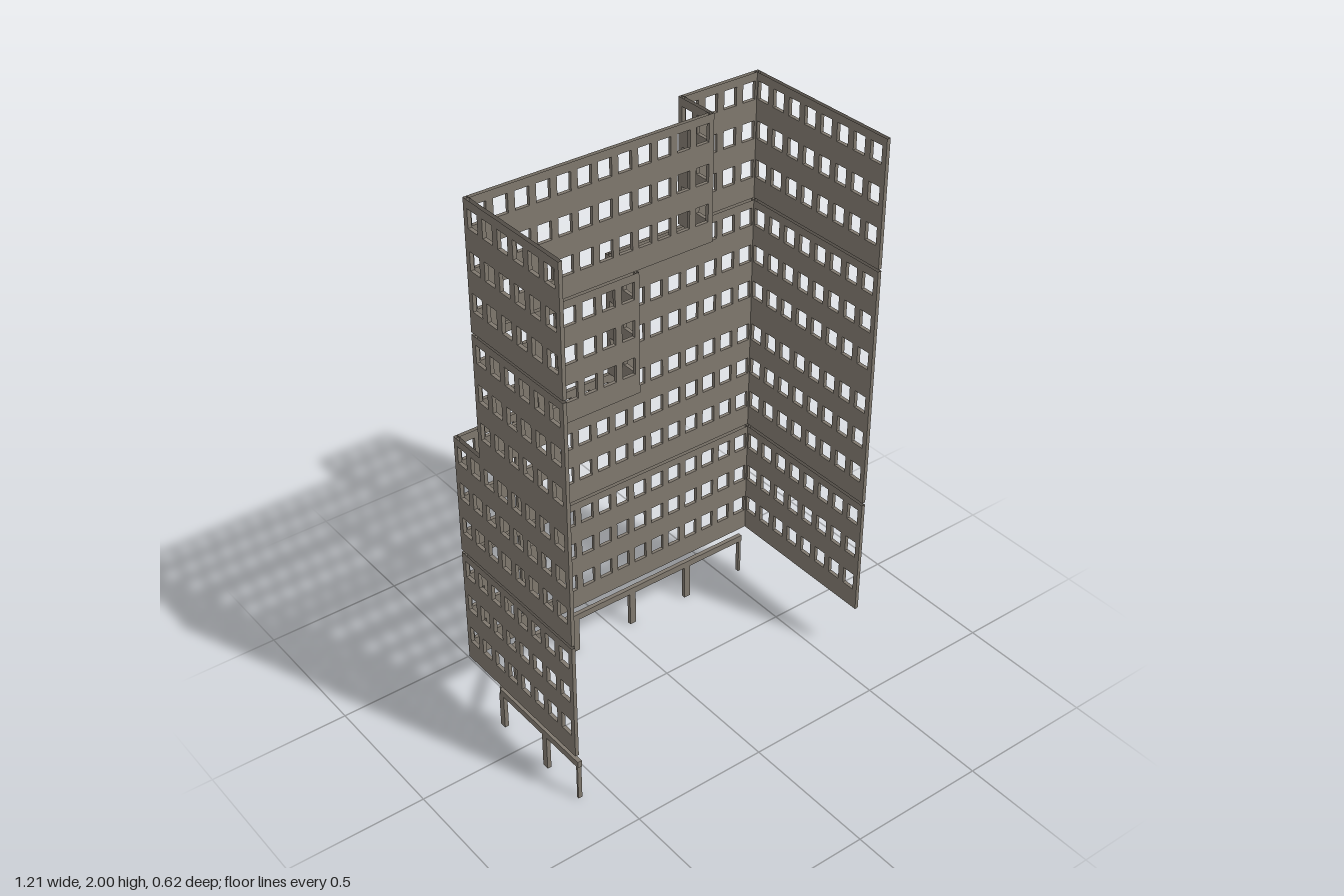
import * as THREE from 'three';

const PITCH = 0.075, THICK = 0.013, H = 0.448;
const concrete = new THREE.MeshStandardMaterial({ color: 0x7f786e, side: THREE.DoubleSide });
concrete.name = 'warm grey concrete';

// Drop triangles lying flat on the top or bottom rim, leaving the wall hollow there
function openRims(geo) {
  const p = geo.attributes.position.array, out = [];
  for (let i = 0; i < p.length; i += 9) {
    const flat = y => [1, 4, 7].every(k => Math.abs(p[i + k] - y) < 1e-5);
    if (!flat(0) && !flat(H)) for (let k = 0; k < 9; k++) out.push(p[i + k]);
  }
  const g = new THREE.BufferGeometry();
  g.setAttribute('position', new THREE.Float32BufferAttribute(out, 3));
  g.computeVertexNormals();
  return g;
}

// Wall panel from a to b (plan points [x, z]) with three rows of windows
function wall(a, b, y, name) {
  const dx = b[0] - a[0], dz = b[1] - a[1], len = Math.hypot(dx, dz), e = THICK / 2;
  const s = new THREE.Shape();
  s.moveTo(-e, 0).lineTo(len + e, 0).lineTo(len + e, H).lineTo(-e, H).closePath();
  const n = Math.round(len / PITCH), w = 0.05, h = 0.064;
  for (let row = 0; row < 3; row++) {
    for (let i = 0; i < n; i++) {
      const x0 = (i + 0.5) * len / n - w / 2, y0 = 0.077 + row * 0.139;
      const hole = new THREE.Path();
      hole.moveTo(x0, y0).lineTo(x0, y0 + h).lineTo(x0 + w, y0 + h).lineTo(x0 + w, y0).closePath();
      s.holes.push(hole);
    }
  }
  const geo = new THREE.ExtrudeGeometry(s, { depth: THICK, bevelEnabled: false });
  const mesh = new THREE.Mesh(openRims(geo.translate(0, 0, -e)), concrete);
  mesh.position.set(a[0], y, a[1]);
  mesh.rotation.y = Math.atan2(-dz, dx);
  mesh.name = name;
  return mesh;
}

function box(w, h, d, x, y, z, ry, name) {
  const m = new THREE.Mesh(new THREE.BoxGeometry(w, h, d), concrete);
  m.position.set(x, y, z);
  m.rotation.y = ry;
  m.name = name;
  return m;
}

export function createModel() {
  const model = new THREE.Group();
  model.name = 'apartmentFacade';

  // Three-storey wall tiers; the upper two step in from the back
  const X = 0.6, B = -0.303, S = -0.155, F = 0.3;
  const straight = [[-X, F], [-X, B], [X, B], [X, F]];
  const stepped = x => [[-X, F], [-X, S], [x, S], [x, B], [X, B], [X, F]];
  const tiers = [[0.19, straight], [0.648, straight], [1.096, stepped(0)], [1.552, stepped(0.292)]];
  tiers.forEach(([y, plan], t) => {
    const tier = new THREE.Group();
    tier.name = `wallTier${t + 1}`;
    for (let i = 0; i + 1 < plan.length; i++) {
      tier.add(wall(plan[i], plan[i + 1], y, `windowWall${i + 1}`));
    }
    model.add(tier);
  });

  // Ground-level colonnade: a beam with a cut corner
  const colonnade = new THREE.Group();
  colonnade.name = 'colonnade';
  const path = [[-0.593, 0.31], [-0.593, -0.135], [-0.43, -0.297], [0.572, -0.297]];
  for (let i = 0; i < 3; i++) {
    const [a, b] = [path[i], path[i + 1]];
    const dx = b[0] - a[0], dz = b[1] - a[1];
    colonnade.add(box(Math.hypot(dx, dz), 0.025, 0.016, (a[0] + b[0]) / 2, 0.15,
      (a[1] + b[1]) / 2, Math.atan2(-dz, dx), 'beam'));
  }

  // Posts under the beam, narrower at both ends
  const post = (x, z, w, ry) => colonnade.add(box(w, 0.138, 0.015, x, 0.069, z, ry, 'post'));
  for (const [z, w] of [[0.303, 0.008], [0.12, 0.025], [-0.13, 0.025]]) post(-0.593, z, w, Math.PI / 2);
  for (const x of [-0.425, -0.177, 0.071, 0.319]) post(x, -0.297, 0.025, 0);
  post(0.565, -0.297, 0.01, 0);
  model.add(colonnade);
  return model;
}
